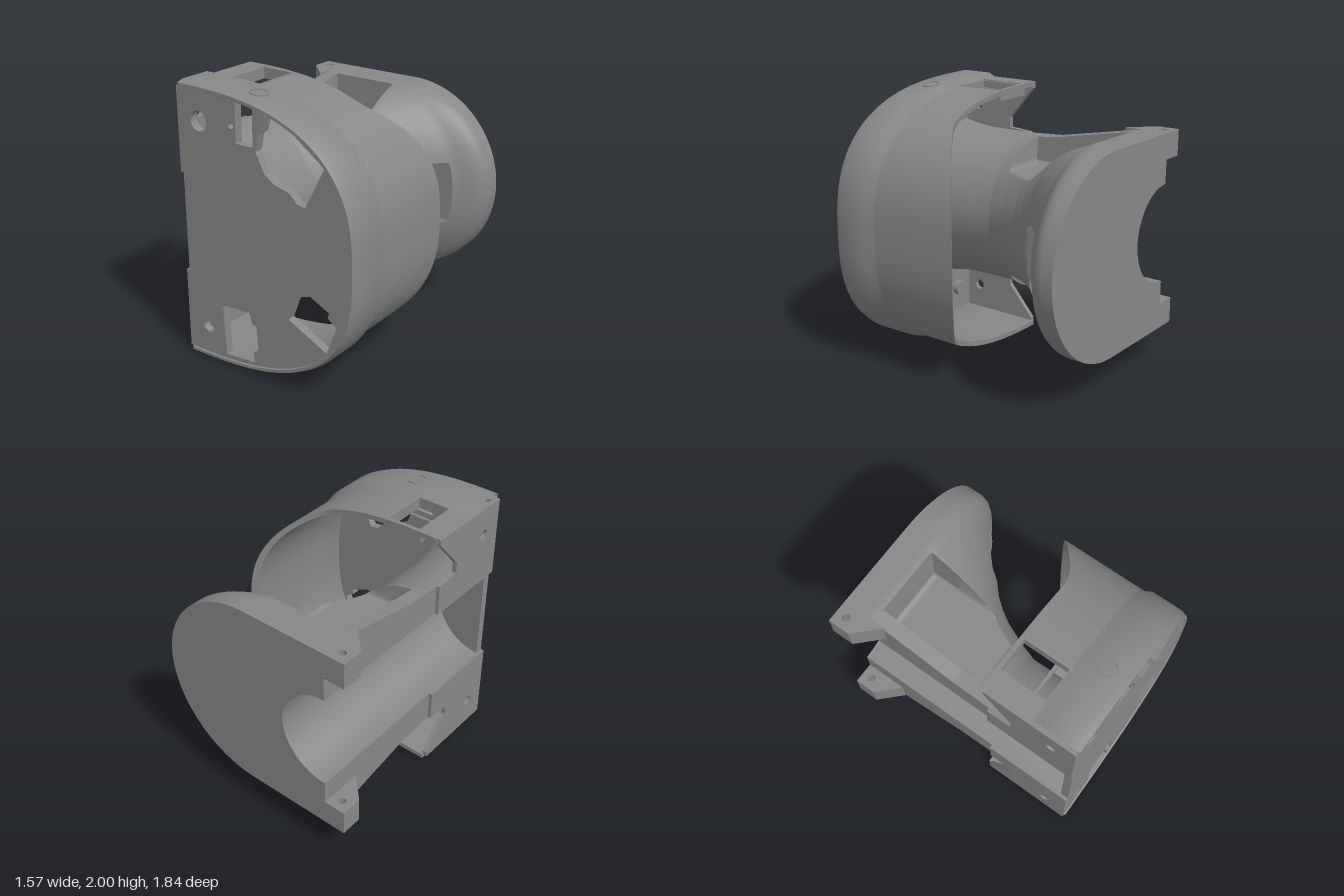
import * as THREE from 'three';
import { toCreasedNormals } from 'three/addons/utils/BufferGeometryUtils.js';

const grey = new THREE.MeshStandardMaterial({ color: 0x888888, side: THREE.DoubleSide });
const LEFT = -0.63; // flat side of the D-shaped outline
const V = (x, y, z) => new THREE.Vector3(x, y, z);

function add(group, name, geometry) {
  const m = new THREE.Mesh(geometry, grey);
  m.name = name;
  group.add(m);
  return m;
}

// Surface through rows of points; skip(a, c) leaves out a cell by its corners
function skin(rows, skip = () => false) {
  const pos = [];
  for (let i = 0; i + 1 < rows.length; i++)
    for (let j = 0; j + 1 < rows[i].length; j++) {
      const a = rows[i][j], b = rows[i][j + 1], c = rows[i + 1][j + 1], d = rows[i + 1][j];
      if (skip(a, c)) continue;
      for (const p of [a, b, c, a, c, d]) pos.push(p.x, p.y, p.z);
    }
  const g = new THREE.BufferGeometry();
  g.setAttribute('position', new THREE.Float32BufferAttribute(pos, 3));
  return toCreasedNormals(g, 0.6);
}

const toPoints = pts => pts.map(p => new THREE.Vector2(p[0], p[1]));
const shapeOf = pts => new THREE.Shape(toPoints(pts));
const pathOf = pts => new THREE.Path(toPoints(pts));
const circle = (x, y, r) => Array.from({ length: 28 }, (_, i) => {
  const a = (i + 0.3) / 28 * Math.PI * 2;
  return [x + r * Math.cos(a), y + r * Math.sin(a)];
});
const extrude = (shape, depth) =>
  new THREE.ExtrudeGeometry(shape, { depth, bevelEnabled: false });

// D-shaped outline as half a superellipse, inset by o
const SWITCH = { x0: -0.48, x1: -0.23, z0: 0.23, z1: 0.57 };
const POWER = 2.7;
const thetas = [];
for (let i = 0; i <= 48; i++) thetas.push(i / 48 * Math.PI / 2);
for (const x of [SWITCH.x0, SWITCH.x1])
  thetas.push(Math.acos(((x - LEFT) / 1.385) ** (POWER / 2)));
thetas.sort((a, b) => b - a);
function outline(o) {
  const half = thetas.map(t => [
    LEFT + (1.41 - o) * Math.max(0, Math.cos(t)) ** (2 / POWER),
    (1 - o) * Math.sin(t) ** (2 / POWER)]);
  return [...half.map(([x, y]) => [x, 1 + y]),
    ...half.slice(0, -1).reverse().map(([x, y]) => [x, 1 - y])];
}

// Cut a notch from the upper edge of an outline, following path from left to right
function notch(pts, path) {
  const x0 = path[0][0], x1 = path[path.length - 1][0];
  const before = pts.findIndex(p => p[0] > x0 - 0.004), after = pts.findIndex(p => p[0] > x1 + 0.004);
  return [...pts.slice(0, before), ...path, ...pts.slice(after)];
}

// Rear edge of the housing sweeps back on the rounded side
const rearEdge = x => 0.2 - 0.78 * 0.04 * Math.log(1 + Math.exp((x - 0.34) / 0.04));

function makeHousing() {
  const g = new THREE.Group();
  g.name = 'housing';
  const row = (o, zOf) => outline(o).map(([x, y]) => V(x, y, zOf(x)));
  const back = t => x => 0.585 + (rearEdge(x) - 0.585) * t;
  const tA = (0.585 - SWITCH.z1) / 0.385, tB = (0.585 - SWITCH.z0) / 0.385;
  const rows = [row(0.06, () => 0.88), row(0.035, () => 0.92), row(0.015, () => 0.92),
    row(0, () => 0.87), row(0, () => 0.64)];
  for (const t of [0, tA, 0.3, 0.6, tB, 1]) rows.push(row(0.025, back(t)));
  for (const t of [1, tB, 0.6, 0.3, tA, 0]) rows.push(row(0.06, back(t)));
  rows.push(row(0.06, () => 0.88));
  const inSwitch = (a, c) => {
    const x = (a.x + c.x) / 2, z = (a.z + c.z) / 2;
    return a.y > 1 && x > SWITCH.x0 && x < SWITCH.x1 && z > SWITCH.z0 && z < SWITCH.z1;
  };
  add(g, 'outerShell', skin(rows, inSwitch));

  // Frame and crossbar of the switch opening
  const { x0, x1, z0, z1 } = SWITCH, zm = (z0 + z1) / 2;
  const box = (name, w, h, d, x, y, z) =>
    add(g, name, new THREE.BoxGeometry(w, h, d)).position.set(x, y, z);
  for (const x of [x0 - 0.01, x1 + 0.01]) box('switchFrame', 0.02, 0.08, z1 - z0 + 0.04, x, 1.924, zm);
  for (const z of [z0 - 0.01, z1 + 0.01]) box('switchFrame', x1 - x0, 0.08, 0.02, (x0 + x1) / 2, 1.924, z);
  box('switchCrossbar', x1 - x0, 0.05, 0.02, (x0 + x1) / 2, 1.86, 0.475);

  // Socket ring in the top, tilted with the surface
  const ring = shapeOf(circle(0, 0, 0.066));
  ring.holes.push(pathOf(circle(0, 0, 0.055)));
  add(g, 'socketRing', extrude(ring, 0.02).rotateX(Math.PI / 2).rotateZ(-0.15))
    .position.set(-0.08, 1.976, 0.75);

  // Front plate: upper windows cut in from the rim, the others as holes
  let edge = notch(outline(0.036), [[-0.15, 1.935], [-0.153, 1.66], [-0.012, 1.66], [-0.008, 1.925]]);
  edge = notch(edge, [[0.1, 1.88], [0.07, 1.78], [0.04, 1.76], [0.01, 1.64], [0.04, 1.58], [0.08, 1.5],
    [0.16, 1.45], [0.28, 1.42], [0.34, 1.36], [0.4, 1.35], [0.63, 1.57], [0.55, 1.64], [0.47, 1.7],
    [0.41, 1.74], [0.33, 1.8]]);
  const plate = shapeOf(edge);
  plate.holes = [
    [[0.25, 0.53], [0.32, 0.72], [0.36, 0.73], [0.43, 0.75], [0.58, 0.68], [0.57, 0.64],
      [0.64, 0.59], [0.56, 0.38]],
    [[-0.31, 0.08], [-0.33, 0.44], [-0.3, 0.46], [-0.09, 0.47], [-0.07, 0.39], [-0.03, 0.38],
      [-0.02, 0.2], [-0.06, 0.18], [-0.06, 0.1]],
    circle(-0.47, 1.75, 0.07), circle(-0.19, 1.77, 0.02), circle(-0.47, 0.25, 0.045)].map(pathOf);
  add(g, 'frontPlate', extrude(plate, 0.06)).position.z = 0.85;
  add(g, 'screwSeat', new THREE.CylinderGeometry(0.06, 0.06, 0.05, 24).rotateX(Math.PI / 2))
    .position.set(-0.47, 0.25, 0.83);

  // Flat side walls with screw holes, mirrored top and bottom
  for (const s of [1, -1]) {
    const side = shapeOf([[0.91, 0.36], [0.24, 0.36], [0.24, 0.585], [0.43, 0.6], [0.43, 0.68],
      [0.22, 0.92], [0.22, 0.96], [0.91, 0.96]].map(([z, y]) => [z, 1 + s * y]));
    side.holes.push(pathOf(circle(0.74, 1 + s * 0.75, 0.04)));
    add(g, 'sideWall', extrude(side, 0.035).rotateY(-Math.PI / 2)).position.x = -0.62;
  }
  return g;
}

// Reach in x of the body along z, and half its height
const REACH = [[-0.92, 0.76], [-0.82, 0.76], [-0.78, 0.75], [-0.74, 0.72], [-0.7, 0.67], [-0.65, 0.595],
  [-0.58, 0.52], [-0.5, 0.43], [-0.4, 0.32], [-0.3, 0.21], [-0.2, 0.13], [-0.1, 0.07], [0.05, 0.005],
  [0.2, -0.045], [0.9, -0.045]];
function reach(z) {
  const i = Math.max(1, REACH.findIndex(p => p[0] >= z));
  const [a, b] = [REACH[i - 1], REACH[i]];
  return a[1] + (b[1] - a[1]) * (z - a[0]) / (b[0] - a[0]);
}
function halfHeight(z) {
  if (z < -0.72) return 0.725;
  if (z < -0.05) return 0.725 - 0.125 * (z + 0.72) / 0.67;
  return Math.max(0.585, 0.6 - 0.06 * (z + 0.05)) + 0.04 * (Math.max(0, z - 0.55) / 0.32) ** 2;
}

// Rise of a pocket floor at distance d from its wall
const fillet = (d, f) => d < f ? f - Math.sqrt(f * f - (f - d) ** 2) : 0;

// One closed cross-section: rounded outside, half-round channel inside
function section(z) {
  const r = halfHeight(z), cx = Math.max(LEFT, reach(z) - r);
  const limit = Math.min(0, cx + 0.95 * r), half = [];
  const xs = [LEFT, -0.58, -0.525, -0.515, -0.505, -0.49];
  for (let x = -0.45; x < -0.2; x += 0.05) xs.push(x);
  for (let x = -0.2; x < -0.03; x += 0.008) xs.push(x);
  for (const t of [...xs, -0.025, -0.015, 0]) {
    const x = Math.min(t, limit);
    half.push([x, x < cx ? r : Math.sqrt(r * r - (x - cx) ** 2)]);
  }
  const a0 = Math.min(Math.PI / 2, Math.acos((limit - cx) / r));
  const a1 = Math.min(a0, Math.asin(0.23 / r)), a2 = Math.min(a1, Math.asin(0.22 / r));
  const arc = a => half.push([cx + r * Math.cos(a), r * Math.sin(a)]);
  for (let i = 0; i <= 30; i++) arc(a0 + (a1 - a0) * i / 30);
  for (let i = 0; i <= 14; i++) arc(a2 * (1 - i / 14));
  // Sunken pockets above, below and on the rounded side
  for (const p of half) {
    const d = Math.min(z + 0.68, 0.1 - z, p[0] + 0.52, -0.02 - p[0]);
    if (d > 0) p[1] = Math.min(p[1], 0.39 + fillet(d, 0.04));
    const e = Math.min(z + 0.62, -0.38 - z, 0.225 - p[1]);
    if (e > 0) p[0] = Math.min(p[0], 0.3 + fillet(e, 0.03));
  }
  const pts = half.map(([x, y]) => V(x, 1 + y, z));
  half.reverse().forEach(([x, y]) => pts.push(V(x, 1 - y, z)));
  for (let i = 0; i <= 32; i++) {
    const a = -Math.PI / 2 + Math.PI * i / 32;
    pts.push(V(LEFT + 0.36 * Math.cos(a), 1 + 0.36 * Math.sin(a), z));
  }
  pts.push(pts[0].clone());
  return pts;
}

function makeBody() {
  const g = new THREE.Group();
  g.name = 'body';
  const zs = [-0.685, -0.675, -0.665, 0.095, 0.105, -0.625, -0.615, -0.605, 0.35, 0.55, 0.65, 0.75, 0.82, 0.87];
  for (let i = 0; i < 37; i++) zs.push(-0.92 + i * 0.02);
  for (let i = 0; i < 41; i++) zs.push(-0.19 + i * 0.01);
  zs.sort((a, b) => a - b);
  add(g, 'neckAndFlange', skin(zs.map(section)));
  const cap = shapeOf(section(-0.92).slice(0, -1).map(p => [p.x, p.y]));
  add(g, 'rearFace', new THREE.ShapeGeometry(cap)).position.z = -0.92;

  // Mounting ears with vertical screw holes
  for (const top of [1.725, 0.465]) {
    const ear = shapeOf([[-0.79, -0.92], [-0.62, -0.92], [-0.62, -0.59], [-0.79, -0.76]]);
    ear.holes.push(pathOf(circle(-0.71, -0.84, 0.027)));
    add(g, 'mountingEar', extrude(ear, 0.19).rotateX(Math.PI / 2)).position.y = top;
  }
  return g;
}

export function createModel() {
  const model = new THREE.Group();
  model.name = 'housingWithFlangedNeck';
  model.add(makeHousing(), makeBody());
  return model;
}
